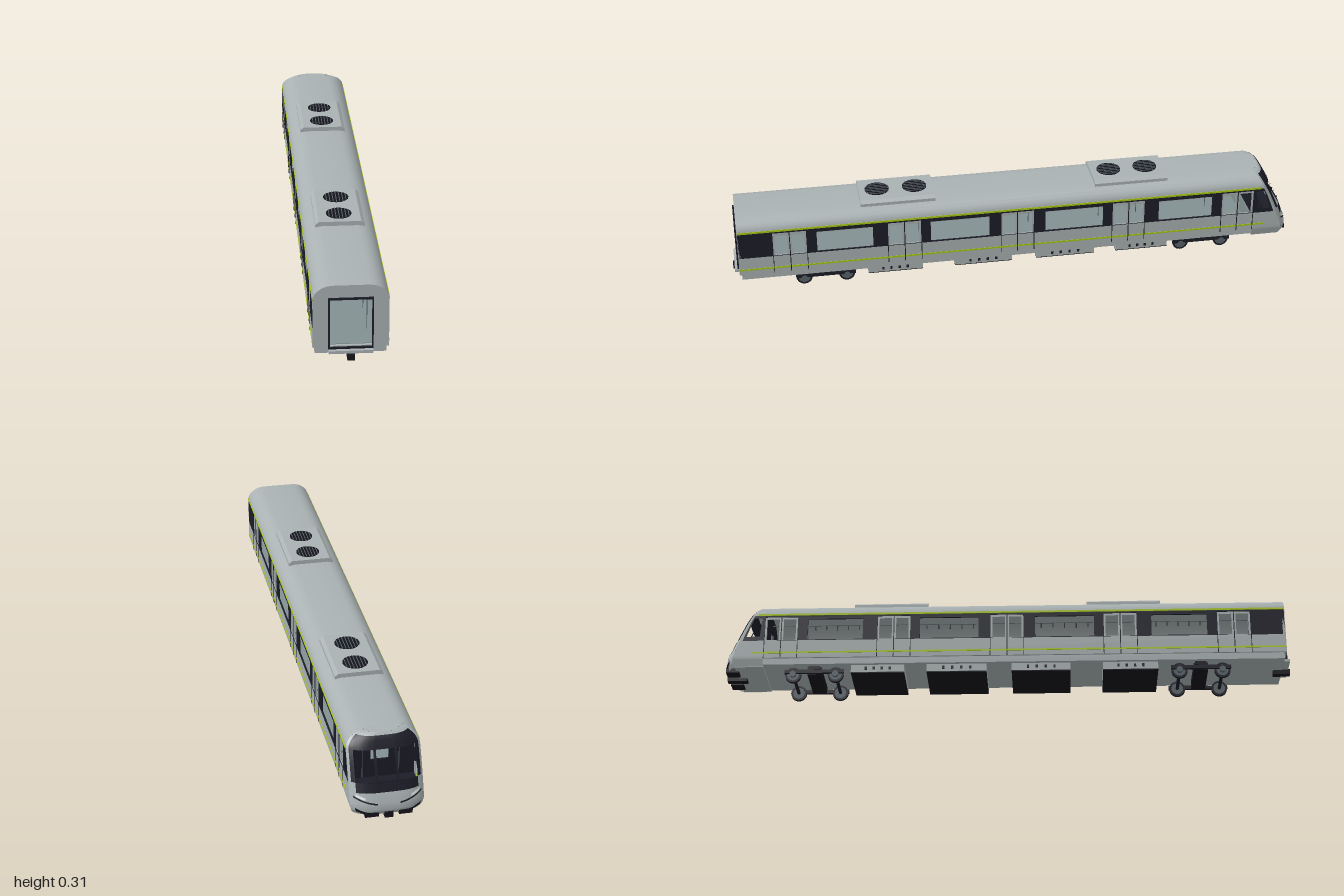
import * as THREE from 'three';
import { mergeGeometries, mergeVertices, toCreasedNormals } from 'three/addons/utils/BufferGeometryUtils.js';

const mat = (name, color) => new THREE.MeshStandardMaterial({ name, color, side: THREE.DoubleSide });

export function createModel() {
  const grey = mat('body grey', 0xaab2b3), dark = mat('dark band', 0x1b1c27), lime = mat('lime stripe', 0xa9c916);
  const lining = mat('interior blue grey', 0x839092), steel = mat('wheel steel', 0x59646a);
  const lamp = mat('lamp white', 0xe4e8e8), black = mat('equipment black', 0x14141b);
  const model = new THREE.Group();
  model.name = 'metroCar';

  const add = (name, geo, material, parent = model) => {
    const m = new THREE.Mesh(geo, material);
    m.name = name;
    parent.add(m);
    return m;
  };
  // box given by its limits
  const box = (name, x0, x1, y0, y1, z0, z1, material, parent) =>
    add(name, new THREE.BoxGeometry(x1 - x0, y1 - y0, z1 - z0)
      .translate((x0 + x1) / 2, (y0 + y1) / 2, (z0 + z1) / 2), material, parent);
  const rect = (Type, x0, x1, y0, y1) =>
    new Type([[x0, y0], [x1, y0], [x1, y1], [x0, y1]].map(p => new THREE.Vector2(...p)));
  const extrude = (shape, depth) => new THREE.ExtrudeGeometry(shape, { depth, bevelEnabled: false });
  // flat panel in the z-y plane, outer face at |x| = out on side s
  const sidePanel = (name, s, out, depth, shape, material) =>
    add(name, extrude(shape, depth).rotateY(-Math.PI / 2).translate(s > 0 ? out : depth - out, 0, 0), material);

  // roof: arched shell over the side walls
  const arch = [[0.12, 0.243], [0.1185, 0.256], [0.113, 0.267], [0.104, 0.277], [0.092, 0.286], [0.078, 0.292], [0.06, 0.295]];
  const half = k => arch.map(([x, y]) => new THREE.Vector2(x - k * x / 0.12, y - (y > 0.25 ? k : 0)));
  const full = k => [...half(k), ...half(k).reverse().map(p => new THREE.Vector2(-p.x, p.y))];
  const END = 0.978, CAB = -0.86;
  add('roof', toCreasedNormals(extrude(new THREE.Shape([...full(0), ...full(0.005).reverse()]), END - CAB).translate(0, 0, CAB), 0.6), grey);

  // gangway end wall with doorway
  const section = k => new THREE.Shape([new THREE.Vector2(0.12 - k, 0.08), ...full(k), new THREE.Vector2(k - 0.12, 0.08)]);
  const end = section(0);
  end.holes.push(rect(THREE.Path, -0.068, 0.068, 0.085, 0.25));
  add('endWall', extrude(end, 0.01).translate(0, 0, END - 0.008), grey);
  const ring = rect(THREE.Shape, -0.071, 0.071, 0.076, 0.253);
  ring.holes.push(rect(THREE.Path, -0.066, 0.066, 0.082, 0.247));
  add('gangwayFrame', extrude(ring, 0.006).translate(0, 0, 0.98), dark);
  box('gangwayThreshold', -0.07, 0.07, 0.064, 0.074, 0.97, 0.995, grey);
  box('gangwayCoupler', -0.012, 0.012, 0.042, 0.06, 0.94, 1.0, black);

  // side walls
  const doors = [-0.8, -0.4, 0, 0.4, 0.8];
  const windows = [[0.51, 0.706], [0.1, 0.308], [-0.308, -0.1], [-0.706, -0.51]];
  for (const s of [1, -1]) {
    sidePanel('lowerSide', s, 0.12, 0.006, rect(THREE.Shape, CAB, END, 0.08, 0.147), grey);
    const band = rect(THREE.Shape, CAB, END, 0.147, 0.245);
    windows.forEach(([a, b]) => band.holes.push(rect(THREE.Path, a, b, 0.15, 0.23)));
    doors.forEach(z => band.holes.push(rect(THREE.Path, z - 0.058, z + 0.058, 0.148, 0.238)));
    sidePanel('windowBand', s, 0.12, 0.006, band, dark);
    const plate = (name, y0, y1, z0, z1, m) =>
      sidePanel(name, s, 0.1215, 0.002, rect(THREE.Shape, z0, z1, y0, y1), m);
    plate('upperStripe', 0.244, 0.251, -0.885, END, lime);
    plate('lowerStripe', 0.097, 0.103, -0.9, END, lime);
    for (const z of doors) {
      for (const d of [-1, 1]) {
        const c = z + d * 0.0295;
        const leaf = rect(THREE.Shape, c - 0.0285, c + 0.0285, 0.147, 0.24);
        leaf.holes.push(rect(THREE.Path, c - 0.022, c + 0.022, 0.15, 0.23));
        sidePanel('doorLeaf', s, 0.118, 0.003, leaf, grey);
        plate('doorEdge', 0.08, 0.147, z + d * 0.059 - 0.0012, z + d * 0.059 + 0.0012, dark);
      }
      plate('doorSeam', 0.08, 0.24, z - 0.0015, z + 0.0015, dark);
    }
  }

  // underframe, floor and interior
  box('underframe', -0.113, 0.113, 0.057, 0.08, -0.93, 0.972, grey);
  box('floor', -0.113, 0.113, 0.08, 0.084, -0.92, 0.965, lining);
  const bulkhead = section(0.006);
  bulkhead.holes.push(rect(THREE.Path, -0.03, 0.03, 0.167, 0.237));
  add('cabBulkhead', extrude(bulkhead, 0.006).translate(0, 0, -0.856), dark);
  box('bulkheadPanel', -0.11, 0.11, 0.084, 0.15, -0.85, -0.846, lining);
  for (const s of [1, -1]) {
    for (const [a, b] of windows) {
      const x = s * 0.095;
      box('bench', x - 0.017, x + 0.017, 0.108, 0.116, a, b, lining);
      box('benchBack', s * 0.11 - 0.002, s * 0.11 + 0.002, 0.116, 0.146, a, b, lining);
      for (let i = 0; i < 5; i++) {
        const z = a + (b - a) * (i + 0.5) / 5;
        box('strapHandle', s * 0.06 - 0.001, s * 0.06 + 0.001, 0.213, 0.23, z - 0.002, z + 0.002, dark);
      }
    }
    add('grabRail', new THREE.CylinderGeometry(0.0013, 0.0013, 1.8, 6).rotateX(Math.PI / 2).translate(s * 0.06, 0.231, 0.06), steel);
    for (const z of doors) for (const d of [-0.07, 0.07])
      add('grabPole', new THREE.CylinderGeometry(0.0013, 0.0013, 0.2, 6).translate(s * 0.06, 0.184, z + d), steel);
  }

  // cab: nose surface and side cheeks from side profile and width rules
  const lerpTable = (t, y) => {
    let i = 1;
    while (i < t.length - 1 && y > t[i][0]) i++;
    const [a, b] = [t[i - 1], t[i]];
    return THREE.MathUtils.lerp(a[1], b[1], (y - a[0]) / (b[0] - a[0]));
  };
  const noseTable = [[0.05, -0.99], [0.065, -0.998], [0.085, -0.997], [0.11, -0.989], [0.17, -0.965], [0.22, -0.943], [0.262, -0.92], [0.28, -0.909], [0.295, -0.895]];
  const widthTable = [[0.05, 0.112], [0.08, 0.12], ...arch.map(([x, y]) => [y, x])];
  const wide = y => lerpTable(widthTable, y);
  const nose = (u, y) => [u * wide(y), y, lerpTable(noseTable, y) + 0.03 * u ** 4];
  const cheek = s => (t, y) => [s * wide(y), y, THREE.MathUtils.lerp(CAB, nose(1, y)[2], t)];
  const patch = (fn, a0, a1, b0, b1, n = 4, m = 6) => {
    const g = new THREE.PlaneGeometry(1, 1, n, m), p = g.attributes.position;
    for (let i = 0; i < p.count; i++)
      p.setXYZ(i, ...fn(a0 + (a1 - a0) * (p.getX(i) + 0.5), b0 + (b1 - b0) * (p.getY(i) + 0.5)));
    g.deleteAttribute('uv');
    g.deleteAttribute('normal');
    return g;
  };
  // split a surface into cells; pick(a, b) gives the material or null for an opening
  const cells = (name, fn, as, bs, pick) => {
    const sets = new Map();
    for (let i = 0; i + 1 < as.length; i++) for (let j = 0; j + 1 < bs.length; j++) {
      const m = pick((as[i] + as[i + 1]) / 2, (bs[j] + bs[j + 1]) / 2);
      if (m) sets.set(m, [...(sets.get(m) || []), patch(fn, as[i], as[i + 1], bs[j], bs[j + 1])]);
    }
    for (const [m, list] of sets) {
      const g = mergeVertices(mergeGeometries(list), 1e-5);
      g.computeVertexNormals();
      add(name, g, m);
    }
  };
  cells('cabNose', nose, [-1, -0.94, -0.84, -0.32, -0.25, 0.25, 0.32, 0.84, 0.94, 1],
    [0.05, 0.075, 0.125, 0.155, 0.25, 0.287, 0.295], (u, y) => {
      const a = Math.abs(u);
      if (a > 0.94 || y < 0.125 || y > 0.287) return grey;
      if (y < 0.155 && a > 0.84) return grey;
      return y > 0.155 && y < 0.25 && (a < 0.25 || (a > 0.32 && a < 0.84)) ? null : dark;
    });
  for (const s of [1, -1]) {
    cells('cabCheek', cheek(s), [0, 0.2, 0.8, 0.9, 1], [0.05, 0.08, 0.147, 0.163, 0.235, 0.245, 0.27, 0.295], (t, y) => {
      if (y < 0.147 || y > 0.245 || t > 0.9) return grey;
      return t > 0.2 && t < 0.8 && y > 0.163 && y < 0.235 ? null : dark;
    });
    // headlamp strip and lamp laid on the nose
    const onNose = (u, v) => {
      const [x, y, z] = nose(u, v + 0.03 * u * u);
      return [x, y, z - 0.002];
    };
    const strip = (name, u0, u1, v0, v1, m) => {
      const g = patch(onNose, s * u0, s * u1, v0, v1, 8, 2);
      g.computeVertexNormals();
      add(name, g, m);
    };
    strip('lampStrip', 0.3, 0.92, 0.085, 0.09, dark);
    strip('headlamp', 0.62, 0.86, 0.092, 0.1, lamp);
    strip('noseVent', 0.42, 0.9, 0.04, 0.052, black);
    box('wiper', s * 0.03 - 0.001, s * 0.03 + 0.001, 0.15, 0.156, -0.975, -0.97, black);
    box('bufferBlock', s * 0.055 - 0.022, s * 0.055 + 0.022, 0.045, 0.06, -0.996, -0.95, black);
  }
  const lid = patch((u, t) => [u * 0.06, 0.295, THREE.MathUtils.lerp(CAB, nose(u, 0.295)[2], t)], -1, 1, 0, 1, 12, 1);
  lid.computeVertexNormals();
  add('cabRoof', lid, grey);
  box('cabFloor', -0.108, 0.108, 0.05, 0.057, -0.96, CAB, grey);
  box('driverDesk', -0.1, 0.1, 0.08, 0.14, -0.945, -0.91, dark);
  box('cabCoupler', -0.014, 0.014, 0.04, 0.06, -1.0, -0.93, black);

  // roof cooling units with two fans each
  for (const zc of [0.415, -0.415]) {
    const unit = new THREE.Group();
    unit.name = 'coolingUnit';
    unit.position.z = zc;
    model.add(unit);
    const pts = [[-0.082, 0.288], [0.082, 0.288], [0.082, 0.301], [0.07, 0.31], [-0.07, 0.31], [-0.082, 0.301]];
    add('coolingCase', extrude(new THREE.Shape(pts.map(p => new THREE.Vector2(...p))), 0.262).translate(0, 0, -0.131), grey, unit);
    for (const z of [-0.066, 0.066]) {
      add('fan', new THREE.CylinderGeometry(0.043, 0.043, 0.002, 16).translate(0, 0.3105, z), black, unit);
      for (let i = -3; i <= 3; i++) {
        const x = i * 0.011, l = Math.sqrt(0.042 ** 2 - x * x);
        box('fanSlat', x - 0.0014, x + 0.0014, 0.3112, 0.3125, z - l, z + l, steel, unit);
      }
    }
  }

  // underfloor equipment boxes: grey sides with slots, black bottom
  for (const [a, b] of [[0.337, 0.53], [0.016, 0.222], [-0.283, -0.072], [-0.55, -0.362]]) {
    box('equipmentBox', -0.1, 0.1, 0.03, 0.058, a, b, grey);
    box('equipmentBottom', -0.099, 0.099, 0.027, 0.03, a, b, black);
    for (const s of [1, -1]) for (let i = 0; i < 4; i++) {
      const z = a + (b - a) * (0.28 + i * 0.15);
      box('ventSlot', s * 0.1 - 0.001, s * 0.1 + 0.001, 0.038, 0.05, z - 0.004, z + 0.004, dark);
    }
  }

  // bogies
  for (const zc of [0.68, -0.68]) {
    const bogie = new THREE.Group();
    bogie.name = 'bogie';
    bogie.position.z = zc;
    model.add(bogie);
    box('bolster', -0.085, 0.085, 0.03, 0.056, -0.025, 0.025, black, bogie);
    for (const s of [1, -1]) {
      box('bogieFrame', s * 0.09 - 0.005, s * 0.09 + 0.005, 0.031, 0.044, -0.105, 0.105, dark, bogie);
      box('airSpring', s * 0.085 - 0.012, s * 0.085 + 0.012, 0.044, 0.058, -0.02, 0.02, black, bogie);
    }
    for (const z of [-0.075, 0.075]) {
      add('axle', new THREE.CylinderGeometry(0.006, 0.006, 0.19, 10).rotateZ(Math.PI / 2).translate(0, 0.028, z), dark, bogie);
      for (const s of [1, -1]) {
        const disc = (name, r, w, x, m) =>
          add(name, new THREE.CylinderGeometry(r, r, w, 24).rotateZ(Math.PI / 2).translate(s * x, 0.028, z), m, bogie);
        disc('wheel', 0.028, 0.011, 0.08, dark);
        disc('wheelFace', 0.021, 0.013, 0.08, steel);
        disc('axleBox', 0.011, 0.012, 0.092, steel);
      }
    }
  }
  return model;
}
